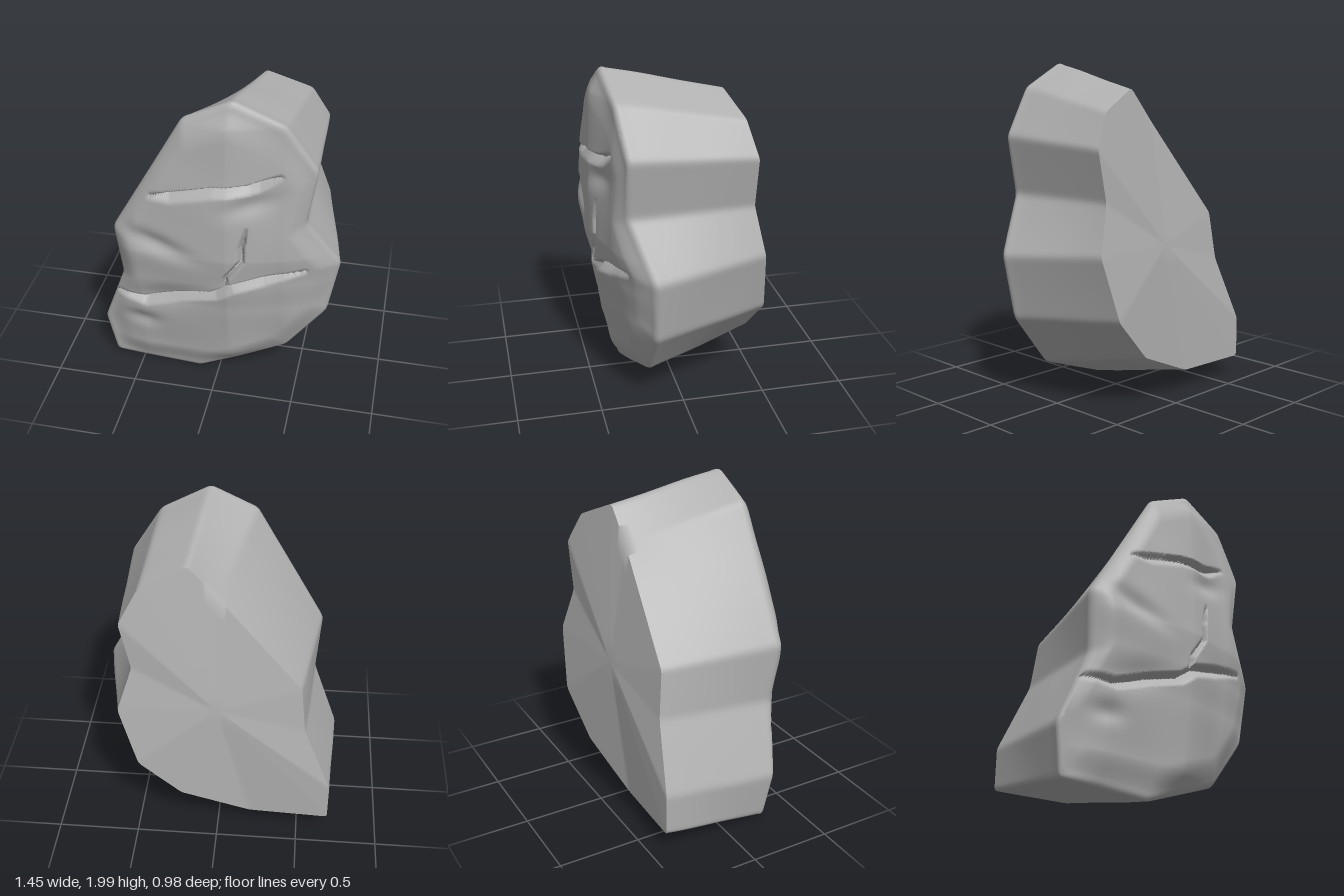
import * as THREE from 'three';
import { toCreasedNormals } from 'three/addons/utils/BufferGeometryUtils.js';

// matching corners of the front rim and the back rim, counter-clockwise
const FRONT = [
  [-0.68, 0.03, 0.28], [-0.12, 0.0, 0.29], [0.42, 0.2, 0.2], [0.66, 0.52, 0.2], [0.725, 0.9, 0.21],
  [0.52, 1.23, 0.33], [0.575, 1.58, 0.34], [0.39, 1.86, 0.38], [0.1, 2.0, 0.41], [-0.18, 1.87, 0.4],
  [-0.605, 1.11, 0.4], [-0.575, 0.75, 0.36], [-0.73, 0.33, 0.31],
];
const BACK = [
  [-0.69, 0.13, -0.41], [-0.2, 0.14, -0.4], [0.22, 0.32, -0.46], [0.47, 0.58, -0.495], [0.58, 0.96, -0.46],
  [0.49, 1.24, -0.41], [0.55, 1.54, -0.41], [0.44, 1.74, -0.36], [0.17, 1.86, -0.29], [0, 1.66, -0.29],
  [-0.49, 1.08, -0.33], [-0.52, 0.79, -0.36], [-0.69, 0.38, -0.41],
];
// cracks across the front: path, depth, half width above and below the path
const CRACKS = [
  { path: [[-0.36, 1.39], [-0.2, 1.43], [0, 1.48], [0.2, 1.5], [0.38, 1.56]], depth: 0.06, up: 0.018, down: 0.06 },
  { path: [[-0.62, 0.6], [-0.43, 0.6], [-0.2, 0.68], [0, 0.73], [0.1, 0.8], [0.3, 0.86], [0.53, 0.9]], depth: 0.065, up: 0.025, down: 0.06 },
  { path: [[0.06, 0.75], [0.08, 0.87], [0.17, 1.0], [0.17, 1.1], [0.2, 1.22]], depth: 0.045, up: 0.025, down: 0.025 },
];
// soft hollows: x, y, half length, half height, tilt, depth
const DENTS = [
  [-0.33, 1.07, 0.2, 0.06, -0.35, 0.03], [-0.46, 0.42, 0.1, 0.06, 0, 0.025], [0.22, 1.38, 0.14, 0.06, 0.3, 0.025],
  [-0.3, 0.66, 0.22, 0.08, 0.3, 0.02],
];

const MID_Y = 0.95;
const mix = THREE.MathUtils.lerp;
function curveAt(points, v) {
  for (let i = 1; i < points.length; i++) {
    const [a, p] = points[i - 1], [b, q] = points[i];
    if (v <= b) return mix(p, q, THREE.MathUtils.smoothstep(v, a, b) * 0.4 + THREE.MathUtils.clamp((v - a) / (b - a), 0, 1) * 0.6);
  }
  return points[points.length - 1][1];
}
const BULGE_Y = [[0, 0.31], [0.2, 0.36], [0.6, 0.425], [0.8, 0.46], [1.0, 0.49], [1.4, 0.485], [1.85, 0.465], [2, 0.42]];
const BULGE_X = [[-0.74, -0.07], [-0.45, -0.01], [0.08, 0], [0.4, -0.085], [0.73, -0.21]];

function crackDepth({ path, depth, up, down }, x, y) {
  let best = Infinity, side = 1, along = 0;
  const n = path.length - 1;
  for (let i = 0; i < n; i++) {
    const [ax, ay] = path[i], dx = path[i + 1][0] - ax, dy = path[i + 1][1] - ay;
    const t = THREE.MathUtils.clamp(((x - ax) * dx + (y - ay) * dy) / (dx * dx + dy * dy), 0, 1);
    const d = Math.hypot(x - ax - dx * t, y - ay - dy * t);
    if (d < best) {
      best = d;
      side = dx * (y - ay) - dy * (x - ax);
      along = (i + t) / n;
    }
  }
  const taper = Math.min(1, 0.3 + 4 * Math.min(along, 1 - along));
  const w = side > 0 ? up : down * taper;
  return best < w ? depth * taper * Math.pow(1 - best / w, 1.3) : 0;
}

// height of the front face, cracks included
function faceZ(x, y) {
  let z = curveAt(BULGE_Y, y) + curveAt(BULGE_X, x);
  for (const [cx, cy, w, h, tilt, depth] of DENTS) {
    const c = Math.cos(tilt), s = Math.sin(tilt);
    const u = ((x - cx) * c + (y - cy) * s) / w, v = ((y - cy) * c - (x - cx) * s) / h;
    z -= depth * Math.exp(-u * u - v * v);
  }
  return z + 0.004 * Math.sin(9 * x + 4 * y) * Math.sin(8 * y - 3 * x);
}

// point of the front face on the ray to rim point p, t = 0 at the rim and 1 in the middle
function facePoint(p, t) {
  const s = 1 - t, x = p[0] * s, y = MID_Y + (p[1] - MID_Y) * s;
  const blend = t < 0.2 ? 1 - (1 - t / 0.2) ** 2 : 1;
  const cut = Math.max(...CRACKS.map((crack) => crackDepth(crack, x, y)));
  return [x, y, mix(p[2], faceZ(x, y), blend) - cut];
}

// corner list -> dense loop with slightly worn corners
function denseLoop(corners, counts) {
  let loop = [];
  corners.forEach((a, k) => {
    const b = corners[(k + 1) % corners.length];
    for (let i = 0; i < counts[k]; i++) loop.push(a.map((v, c) => mix(v, b[c], i / counts[k])));
  });
  for (let pass = 0; pass < 2; pass++) {
    loop = loop.map((p, i) => {
      const a = loop.at(i - 1), b = loop[(i + 1) % loop.length];
      return p.map((v, c) => v * 0.5 + (a[c] + b[c]) * 0.25);
    });
  }
  return loop;
}

function stoneGeometry() {
  const counts = FRONT.map((a, k) => {
    const b = FRONT[(k + 1) % FRONT.length];
    return Math.round(Math.hypot(b[0] - a[0], b[1] - a[1]) / 0.018);
  });
  const front = denseLoop(FRONT, counts), back = denseLoop(BACK, counts);
  const n = front.length, rows = [];

  // back face, from its middle outwards
  const mid = [0, MID_Y, -0.41];
  for (let i = 0; i < 6; i++) rows.push(back.map((p) => p.map((v, c) => mix(mid[c], v, i / 6))));

  // sides, gently uneven, up to the start of the rim
  const sideEnd = 0.94, faceStart = 0.05;
  const sidePoint = (j, t) => {
    const q = back[j].map((v, c) => mix(v, front[j][c], t));
    const k = 1 + 0.004 * Math.sin(Math.PI * t) * (1 + Math.sin(7 * q[2] + 6 * q[1] + 3 * q[0]));
    return [q[0] * k, MID_Y + (q[1] - MID_Y) * k, q[2]];
  };
  for (let i = 0; i <= 12; i++) rows.push(back.map((_, j) => sidePoint(j, sideEnd * i / 12)));

  // worn round rim between side and front
  for (let i = 1; i < 6; i++) {
    const t = i / 6, s = 1 - t;
    rows.push(front.map((p, j) => {
      const a = sidePoint(j, sideEnd), b = facePoint(p, faceStart);
      const corner = [p[0] * 1.014, MID_Y + (p[1] - MID_Y) * 1.014, p[2]];
      return corner.map((v, c) => s * s * a[c] + 2 * s * t * v + t * t * b[c]);
    }));
  }

  // front face, from the rim inwards
  const rings = 120;
  for (let i = 0; i <= rings; i++) rows.push(front.map((p) => facePoint(p, mix(faceStart, 1, i / rings))));

  const index = [];
  for (let i = 0; i < rows.length - 1; i++) {
    for (let j = 0; j < n; j++) {
      const a = i * n + j, b = i * n + (j + 1) % n, c = b + n, d = a + n;
      if (i > 0) index.push(a, b, c);
      if (i < rows.length - 2) index.push(a, c, d);
    }
  }
  const geometry = new THREE.BufferGeometry();
  geometry.setAttribute('position', new THREE.Float32BufferAttribute(rows.flat(2), 3));
  geometry.setIndex(index);
  geometry.computeBoundingBox();
  geometry.translate(0, -geometry.boundingBox.min.y, 0);
  return toCreasedNormals(geometry, 1.0);
}

export function createModel() {
  const group = new THREE.Group();
  group.name = 'crackedRock';
  const stone = new THREE.MeshStandardMaterial({ color: 0xb0b0b0 });
  stone.name = 'grey stone';
  const slab = new THREE.Mesh(stoneGeometry(), stone);
  slab.name = 'stoneSlab';
  group.add(slab);
  return group;
}
